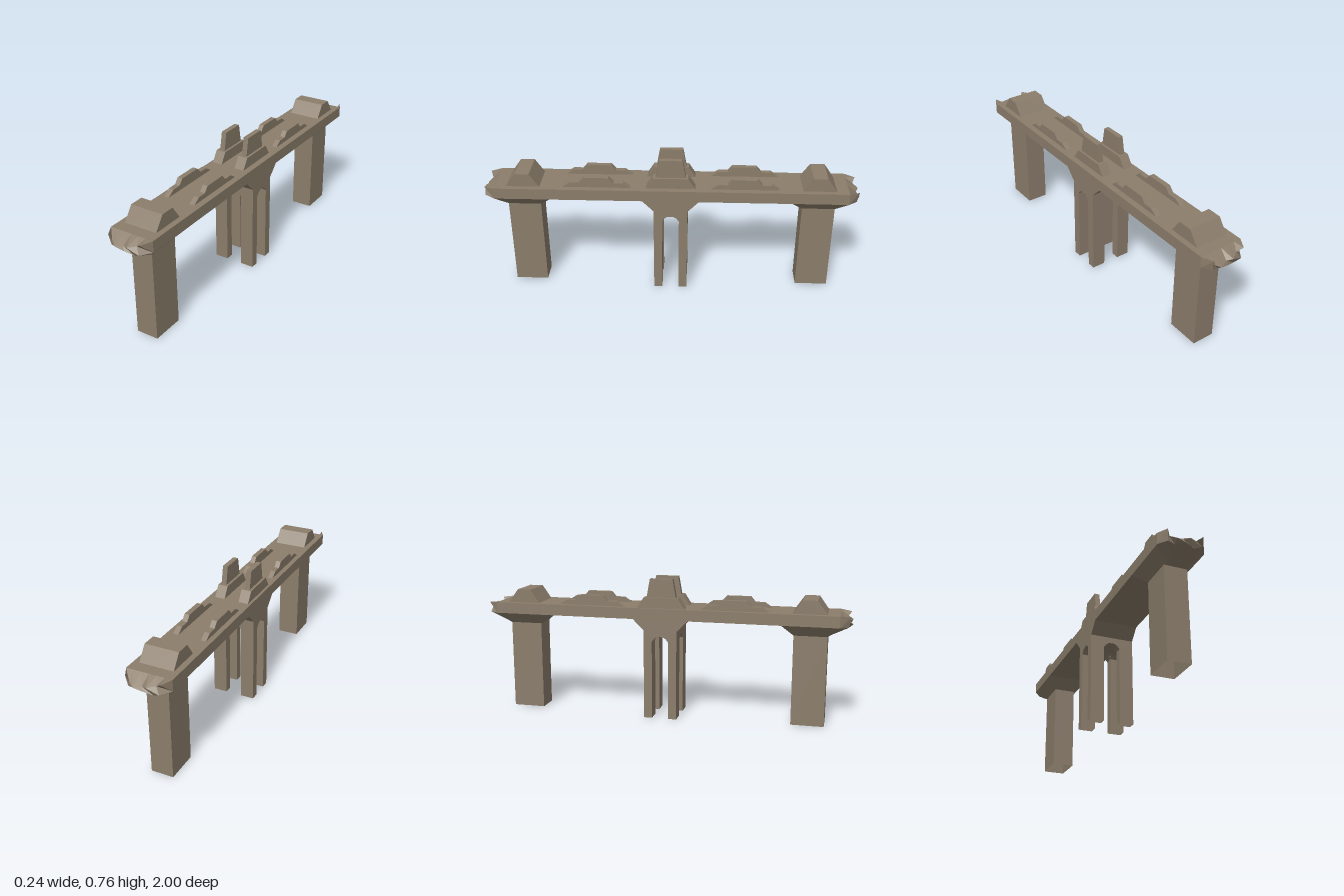
import * as THREE from 'three';

const stone = new THREE.MeshStandardMaterial({ color: 0x8b7d6b, side: THREE.DoubleSide, flatShading: true });
stone.name = 'weathered stone';

const H = Math.PI / 2;
const TOP = 0.605, SOFFIT = 0.545, SPRING = 0.485;

function addMesh(parent, name, geometry) {
  const m = new THREE.Mesh(geometry, stone);
  m.name = name;
  parent.add(m);
  return m;
}

// Convex polygons, each a counter-clockwise list of [x, y, z]
function panels(polys) {
  const pos = [];
  for (const p of polys)
    for (let i = 1; i < p.length - 1; i++) pos.push(...p[0], ...p[i], ...p[i + 1]);
  const g = new THREE.BufferGeometry();
  g.setAttribute('position', new THREE.Float32BufferAttribute(pos, 3));
  g.computeVertexNormals();
  return g;
}

const shapeOf = (pts) => new THREE.Shape(pts.map(([a, b]) => new THREE.Vector2(a, b)));

// Profile in (z, y), extruded across x from x0 to x1
function slab(x0, x1, pts) {
  const g = new THREE.ExtrudeGeometry(shapeOf(pts), { depth: x1 - x0, bevelEnabled: false });
  return g.rotateY(-H).translate(x1, 0, 0);
}

// Polygonal arch shared by all four openings of the middle pier
const ARCH = [[-0.045, 0.425], [-0.032, 0.442], [-0.015, 0.453], [0.015, 0.453], [0.032, 0.442], [0.045, 0.425]];

function middlePier() {
  const pier = new THREE.Group();
  pier.name = 'middlePier';
  const X = 0.12, Z = 0.09, A = 0.045;
  const opening = [[A, 0], ...[...ARCH].reverse(), [-A, 0]];

  // Outer faces with arched openings
  const side = shapeOf([[-0.15, SOFFIT], [-Z, SPRING], [-Z, 0], ...[...opening].reverse(), [Z, 0], [Z, SPRING], [0.15, SOFFIT]]);
  const face = shapeOf([[-X, SPRING], [-X, 0], ...[...opening].reverse(), [X, 0], [X, SPRING]]);
  for (const s of [1, -1]) {
    addMesh(pier, 'pierSide', new THREE.ShapeGeometry(side).rotateY(s * H).translate(s * X, 0, 0));
    addMesh(pier, 'pierFace', new THREE.ShapeGeometry(face).rotateY(s > 0 ? 0 : Math.PI).translate(0, 0, s * Z));
  }

  // Sloping corbels under the deck
  const corbel = panels([[[-X, SPRING, Z], [X, SPRING, Z], [X, SOFFIT, 0.15], [-X, SOFFIT, 0.15]]]);
  addMesh(pier, 'frontCorbel', corbel);
  addMesh(pier, 'backCorbel', corbel).rotation.y = Math.PI;

  // Inner walls of the four legs
  const walls = [];
  for (const sx of [1, -1]) for (const sz of [1, -1]) {
    const a = [sx * A, 0, sz * A], b = [sx * X, 0, sz * A], c = [sx * A, 0, sz * Z];
    const up = (p) => [p[0], 0.425, p[2]];
    const w1 = [a, b, up(b), up(a)], w2 = [c, a, up(a), up(c)];
    for (const w of [w1, w2]) walls.push(sx * sz > 0 ? w.reverse() : w);
  }
  addMesh(pier, 'legInnerWalls', panels(walls));

  // Crossing vault above the openings
  const line = (end) => [-end, ...ARCH.map((p) => p[0]), end];
  const rise = (v) => { const p = ARCH.find((q) => q[0] === v); return p ? p[1] : 0.425; };
  const xs = line(X), zs = line(Z), vault = [];
  const at = (i, k) => [xs[i], Math.max(rise(xs[i]), rise(zs[k])), zs[k]];
  for (let i = 0; i < 7; i++) for (let k = 0; k < 7; k++) {
    if ((i === 0 || i === 6) && (k === 0 || k === 6)) continue;
    vault.push([at(i, k), at(i + 1, k), at(i + 1, k + 1), at(i, k + 1)]);
  }
  addMesh(pier, 'vault', panels(vault));
  return pier;
}

function bridgeEnd() {
  const end = new THREE.Group();
  end.name = 'bridgeEnd';
  const X = 0.12, P = 0.06, Z0 = 0.70, Z1 = 0.875, E = 0.935;

  // Hollow pillar, open underneath
  const ring = [[-P, Z1], [P, Z1], [P, Z0], [-P, Z0]];
  addMesh(end, 'endPillar', panels(ring.map(([x, z], i) => {
    const [u, w] = ring[(i + 1) % 4];
    return [[x, 0, z], [u, 0, w], [u, SPRING, w], [x, SPRING, z]];
  })));

  // Flared capital
  addMesh(end, 'endCapital', panels([
    [[P, SPRING, Z0], [-P, SPRING, Z0], [-X, SOFFIT, 0.64], [X, SOFFIT, 0.64]],
    [[P, SPRING, Z1], [P, SPRING, Z0], [X, SOFFIT, 0.64], [X, SOFFIT, E]],
    [[-P, SPRING, Z0], [-P, SPRING, Z1], [-X, SOFFIT, E], [-X, SOFFIT, 0.64]],
  ]));

  // Jagged broken edge, lofted through four rows from deck to pillar
  const rows = [
    [-0.12, -0.085, -0.04, 0, 0.04, 0.08, 0.12].map((x) => [x, TOP, E]),
    [[-0.09, 0.602, 0.99], [-0.078, 0.57, 0.98], [-0.05, 0.556, 1], [-0.01, 0.566, 0.985], [0.02, 0.572, 1], [0.06, 0.58, 0.975], [0.09, 0.6, 0.99]],
    [[-0.12, SOFFIT, E], [-0.085, 0.545, 0.98], [-0.05, 0.535, 0.975], [0, 0.545, 0.995], [0.045, 0.53, 0.98], [0.08, 0.545, 0.99], [0.12, SOFFIT, E]],
    [-3, -2, -1, 0, 1, 2, 3].map((i) => [i * 0.02, SPRING, Z1]),
  ];
  const faces = [[rows[0][0], rows[2][0], rows[1][0]], [rows[0][6], rows[1][6], rows[2][6]]];
  for (let r = 0; r < 3; r++) for (let i = 0; i < 6; i++)
    faces.push([rows[r][i], rows[r + 1][i], rows[r + 1][i + 1], rows[r][i + 1]]);
  addMesh(end, 'brokenEdge', panels(faces));

  // Wide block on the deck
  addMesh(end, 'endBlock', slab(-0.09, 0.09, [[0.695, TOP], [0.745, 0.677], [0.82, 0.677], [0.872, TOP]]));

  return end;
}

export function createModel() {
  const model = new THREE.Group();
  model.name = 'bridge';

  addMesh(model, 'deck', new THREE.BoxGeometry(0.24, TOP - SOFFIT, 1.87).translate(0, (TOP + SOFFIT) / 2, 0));
  model.add(middlePier());

  const front = bridgeEnd(), back = bridgeEnd();
  front.name = 'frontEnd';
  back.name = 'backEnd';
  back.rotation.y = Math.PI;
  model.add(front, back);

  // Stepped towers over the middle pier
  for (const x of [-0.077, 0.059]) {
    addMesh(model, 'towerBase', slab(x - 0.028, x + 0.027, [[-0.13, TOP], [-0.093, 0.662], [0.093, 0.662], [0.13, TOP]]));
    addMesh(model, 'tower', slab(x - 0.014, x + 0.014, [[-0.08, 0.66], [-0.062, 0.76], [0.062, 0.76], [0.08, 0.66]]));
  }

  // Low stepped ridges between towers and end blocks
  const half = [[0.18, TOP], [0.14, 0.631], [0.09, 0.631], [0.065, 0.66]];
  for (const s of [1, -1]) for (const x of [-0.079, 0.072]) {
    const profile = [...half, ...half.map(([z, y]) => [-z, y]).reverse()].map(([z, y]) => [z + s * 0.392, y]);
    addMesh(model, 'ridge', slab(x - 0.014, x + 0.014, profile));
  }
  return model;
}
